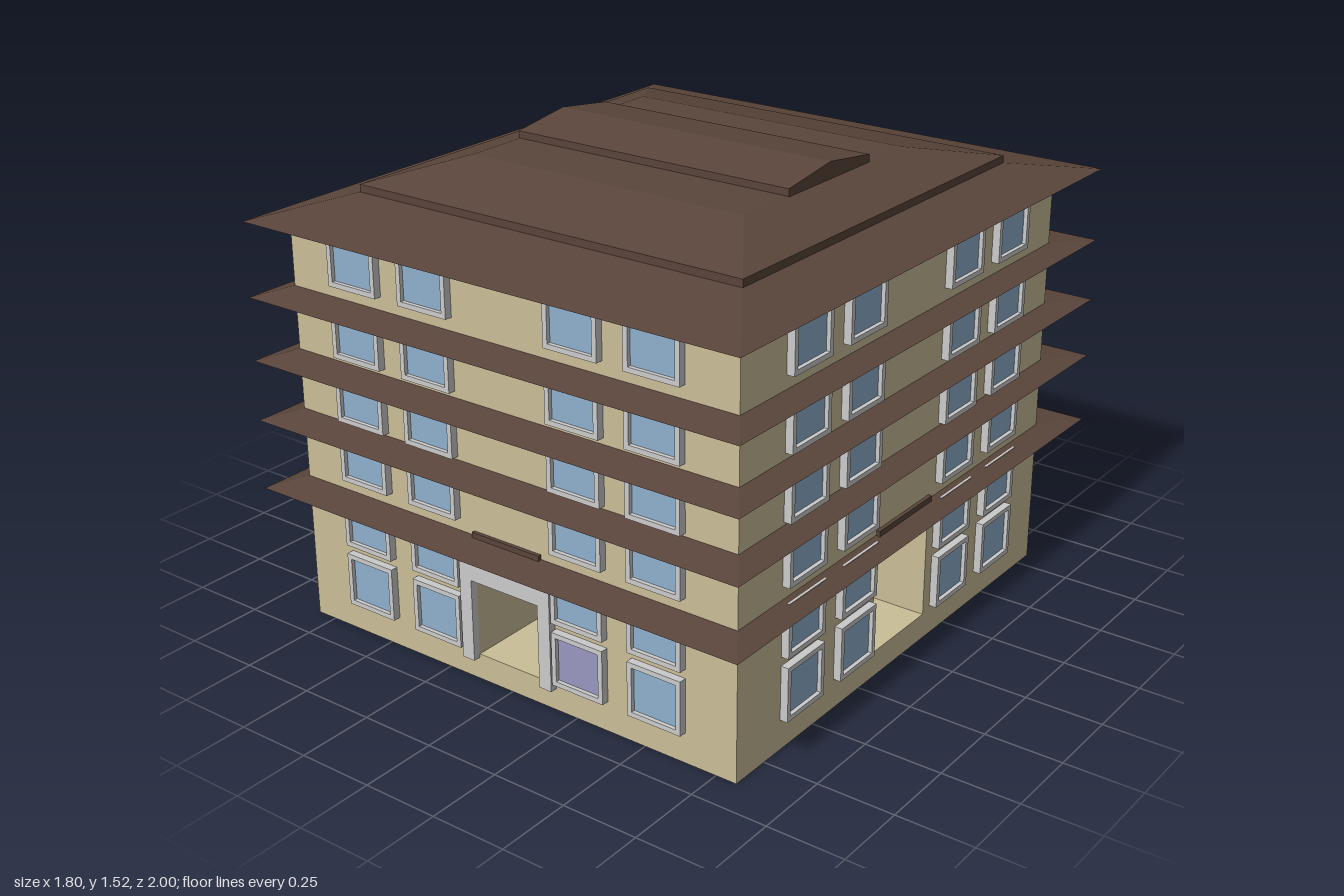
import * as THREE from 'three';

const mat = (color) => new THREE.MeshStandardMaterial({ color, flatShading: true });
const WALL = mat(0xcbbf98), ROOF = mat(0x5a453b), GLASS = mat(0x8fb0cd), VIOLET = mat(0x9a98c0), GREY = mat(0xcccccc);

// wall planes and heights
const X = 0.82, FRONT = 0.885, BACK = -0.82, MID = (FRONT + BACK) / 2;
const FLOOR = 0.085, DOOR_TOP = 0.345, LOWER_TOP = 0.47, WALL_TOP = 1.335;
const DOOR = 0.128, SIDE_FRONT = 0.18, SIDE_BACK = -0.12;

function add(parent, name, geometry, material) {
  const mesh = new THREE.Mesh(geometry, material);
  mesh.name = name;
  parent.add(mesh);
  return mesh;
}

// box given by its two extreme corners
function block(parent, name, material, x0, x1, y0, y1, z0, z1) {
  const g = new THREE.BoxGeometry(x1 - x0, y1 - y0, z1 - z0);
  g.translate((x0 + x1) / 2, (y0 + y1) / 2, (z0 + z1) / 2);
  return add(parent, name, g, material);
}

// hipped slab: rectangle of half sizes [x, z, zCentre] at y0 tapering to another at y1
function hip(parent, name, y0, low, y1, high) {
  const g = new THREE.BoxGeometry(2, 2, 2), p = g.attributes.position;
  for (let i = 0; i < p.count; i++) {
    const top = p.getY(i) > 0, [hx, hz, zc = 0] = top ? high : low;
    p.setXYZ(i, p.getX(i) * hx, top ? y1 : y0, p.getZ(i) * hz + zc);
  }
  g.computeVertexNormals();
  return add(parent, name, g, ROOF);
}

function rectPath(Type, w, h) {
  const p = new Type();
  p.moveTo(-w / 2, -h / 2);
  p.lineTo(w / 2, -h / 2);
  p.lineTo(w / 2, h / 2);
  p.lineTo(-w / 2, h / 2);
  p.closePath();
  return p;
}

// shared window parts
const frameShape = rectPath(THREE.Shape, 0.188, 0.176);
frameShape.holes.push(rectPath(THREE.Path, 0.156, 0.144));
const frameGeometry = new THREE.ExtrudeGeometry(frameShape, { depth: 0.025, bevelEnabled: false });
const paneGeometry = new THREE.BoxGeometry(0.156, 0.144, 0.012).translate(0, 0, 0.006);

function makeWindow(glass) {
  const w = new THREE.Group();
  w.name = 'window';
  add(w, 'windowFrame', frameGeometry, GREY);
  add(w, 'windowPane', paneGeometry, glass);
  return w;
}

// grey surround of a passage, standing out from the wall
function makePortal() {
  const s = new THREE.Shape();
  [[-0.173, 0.073], [-DOOR, 0.073], [-DOOR, DOOR_TOP], [DOOR, DOOR_TOP], [DOOR, 0.073],
    [0.173, 0.073], [0.173, LOWER_TOP], [-0.173, LOWER_TOP]]
    .forEach(([x, y], i) => (i ? s.lineTo(x, y) : s.moveTo(x, y)));
  return new THREE.ExtrudeGeometry(s, { depth: 0.025, bevelEnabled: false });
}

export function createModel() {
  const model = new THREE.Group();
  model.name = 'apartmentBuilding';

  // walls, with two passages crossing the lower floors
  const body = new THREE.Group();
  body.name = 'body';
  model.add(body);
  block(body, 'base', WALL, -X, X, 0, FLOOR, BACK, FRONT);
  for (const [z0, z1] of [[BACK, SIDE_BACK], [SIDE_FRONT, FRONT]]) {
    block(body, 'lowerCorner', WALL, -X, -DOOR, FLOOR, LOWER_TOP, z0, z1);
    block(body, 'lowerCorner', WALL, DOOR, X, FLOOR, LOWER_TOP, z0, z1);
    block(body, 'passageLintel', WALL, -DOOR, DOOR, DOOR_TOP, LOWER_TOP, z0, z1);
  }
  block(body, 'upperFloors', WALL, -X, X, LOWER_TOP, WALL_TOP, BACK, FRONT);

  // entrance surrounds at front and back
  const portal = makePortal();
  add(model, 'frontPortal', portal, GREY).position.z = FRONT;
  const backPortal = add(model, 'backPortal', portal, GREY);
  backPortal.rotation.y = Math.PI;
  backPortal.position.z = BACK;

  // small ledges above the four passage mouths
  block(model, 'entranceLedge', ROOF, -DOOR, DOOR, 0.47, 0.5, BACK - 0.012, FRONT + 0.012);
  block(model, 'sideLedge', ROOF, -X - 0.012, X + 0.012, 0.47, 0.5, SIDE_BACK, SIDE_FRONT);

  // windows: angle of the wall and the centre of each column
  const rows = [0.187, 0.392, 0.615, 0.813, 1.02, 1.247];
  const acrossX = [-0.553, -0.275, 0.272, 0.55], alongZ = [0.578, 0.3, -0.253, -0.533];
  const walls = [
    ['frontWindows', 0, acrossX.map((x) => [x, FRONT])],
    ['backWindows', Math.PI, acrossX.map((x) => [x, BACK])],
    ['leftWindows', Math.PI / 2, alongZ.map((z) => [X, z])],
    ['rightWindows', -Math.PI / 2, alongZ.map((z) => [-X, z])],
  ];
  for (const [name, angle, columns] of walls) {
    const set = new THREE.Group();
    set.name = name;
    model.add(set);
    rows.forEach((y, r) => columns.forEach(([x, z], c) => {
      const odd = name === 'frontWindows' && r === 0 && c === 2;
      const w = makeWindow(odd ? VIOLET : GLASS);
      w.position.set(x, y, z);
      w.rotation.y = angle;
      set.add(w);
    }));
  }

  // sloping eaves between the floors
  const wallTop = [X, (FRONT - BACK) / 2, MID];
  for (const y of [0.462, 0.692, 0.889, 1.094]) hip(model, 'eave', y, [0.9, 1], y + 0.023, wallTop);

  // stepped main roof with a gabled ridge cap
  hip(model, 'lowerRoof', 1.333, [0.9, 1], 1.388, [0.7, 0.707]);
  hip(model, 'upperRoofRim', 1.385, [0.7, 0.707], 1.412, [0.7, 0.707]);
  hip(model, 'upperRoof', 1.412, [0.7, 0.707], 1.473, [0.5, 0.42]);
  hip(model, 'ridgeRim', 1.47, [0.505, 0.215, -0.01], 1.496, [0.505, 0.215, -0.01]);
  hip(model, 'ridgeCap', 1.496, [0.505, 0.215, -0.01], 1.525, [0.505, 0.001, -0.01]);

  return model;
}
